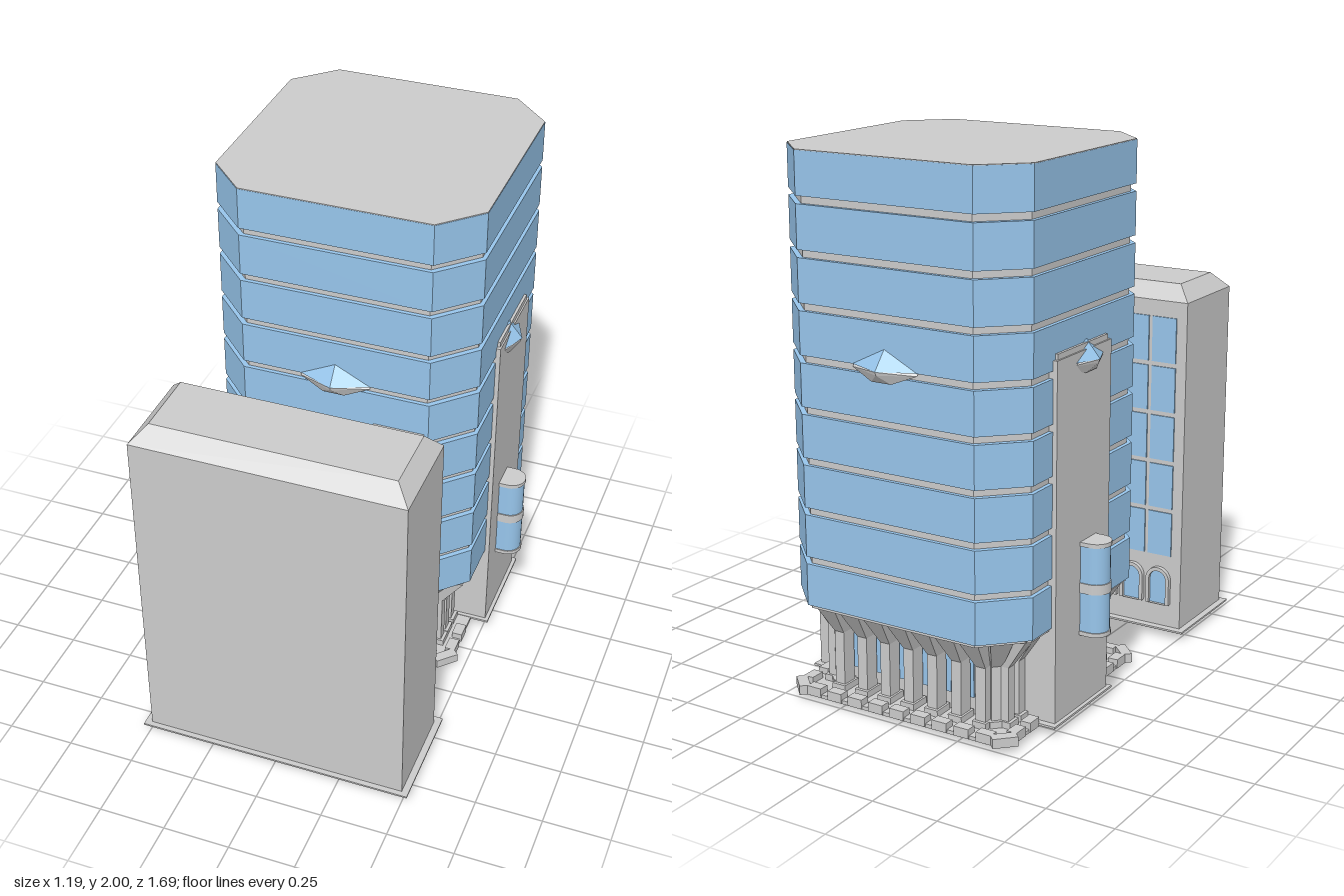
import * as THREE from 'three';
import { ConvexGeometry } from 'three/addons/geometries/ConvexGeometry.js';

const grey = new THREE.MeshStandardMaterial({ color: 0xcccccc, flatShading: true });
const blue = new THREE.MeshStandardMaterial({ color: 0x97c5eb, flatShading: true });
const smoothBlue = new THREE.MeshStandardMaterial({ color: 0x97c5eb });
const smoothGrey = new THREE.MeshStandardMaterial({ color: 0xcccccc });
const CZ = -0.305; // centre of the tower in z

function add(parent, name, geometry, material) {
  const mesh = new THREE.Mesh(geometry, material);
  mesh.name = name;
  parent.add(mesh);
  return mesh;
}

// Box given by its limits on each axis
function box(parent, name, x0, x1, y0, y1, z0, z1, material = grey) {
  const mesh = add(parent, name, new THREE.BoxGeometry(x1 - x0, y1 - y0, z1 - z0), material);
  mesh.position.set((x0 + x1) / 2, (y0 + y1) / 2, (z0 + z1) / 2);
  return mesh;
}

function hull(parent, name, points, material) {
  return add(parent, name, new ConvexGeometry(points.map(p => new THREE.Vector3(...p))), material);
}

// Upright prism on a rectangle with cut corners, around the tower axis
function octagon(parent, name, hx, hz, cut, y0, y1, material) {
  const corners = [
    [hx - cut, -hz], [hx, -hz + cut], [hx, hz - cut], [hx - cut, hz],
    [cut - hx, hz], [-hx, hz - cut], [-hx, cut - hz], [cut - hx, -hz]];
  const shape = new THREE.Shape(corners.map(c => new THREE.Vector2(...c)));
  const geometry = new THREE.ExtrudeGeometry(shape, { depth: y1 - y0, bevelEnabled: false });
  geometry.rotateX(-Math.PI / 2).translate(0, y0, CZ);
  return add(parent, name, geometry, material);
}

// Frustum between two rectangles [x half, z0, z1]
function frustum(parent, name, a, y0, b, y1, material) {
  const ring = ([h, z0, z1], y) => [[-h, y, z0], [h, y, z0], [h, y, z1], [-h, y, z1]];
  return hull(parent, name, [...ring(a, y0), ...ring(b, y1)], material);
}

function tower() {
  const g = new THREE.Group();
  g.name = 'tower';
  octagon(g, 'floorSlabs', 0.475, 0.47, 0.137, 0.385, 1.99, grey);
  for (let i = 0; i < 9; i++) {
    const top = 2 - i * 0.1818;
    octagon(g, 'glazedFloor', 0.49, 0.485, 0.14, top - 0.155, top - (i ? 0 : 0.003), blue);
  }
  octagon(g, 'roof', 0.489, 0.484, 0.14, 1.996, 2, grey);
  octagon(g, 'soffit', 0.48, 0.475, 0.14, 0.378, 0.392, grey);

  // Pointed canopies on all four sides
  for (let i = 0; i < 4; i++) {
    const c = new THREE.Group();
    c.name = 'pointedCanopy';
    hull(c, 'canopyTop', [[-0.13, 1.3, -0.01], [0.13, 1.3, -0.01], [0, 1.365, -0.01],
      [-0.13, 1.3, 0], [0.13, 1.3, 0], [0, 1.365, 0], [0, 1.3, 0.055]], blue);
    hull(c, 'canopyBase', [[-0.13, 1.3, -0.01], [0.13, 1.3, -0.01], [-0.13, 1.29, 0], [0.13, 1.29, 0],
      [0, 1.299, 0.053], [0, 1.287, 0.05], [-0.04, 1.255, 0.02], [0.04, 1.255, 0.02],
      [-0.04, 1.255, -0.01], [0.04, 1.255, -0.01]], grey);
    const a = i * Math.PI / 2;
    const d = i % 2 ? 0.49 : 0.485;
    c.rotation.y = a;
    c.position.set(Math.sin(a) * d, 0, CZ + Math.cos(a) * d);
    g.add(c);
  }

  // Side slabs with round lift shafts
  for (const s of [-1, 1]) {
    const side = new THREE.Group();
    side.name = 'sideWing';
    const slab = (n, a, b, y0, y1, z0, z1) =>
      box(side, n, Math.min(a * s, b * s), Math.max(a * s, b * s), y0, y1, z0, z1);
    slab('sideSlab', 0.3, 0.506, 0.03, 1.335, CZ - 0.22, CZ + 0.15);
    slab('slabCap', 0.42, 0.5, 1.335, 1.355, CZ - 0.205, CZ + 0.135);
    slab('slabFoot', 0.3, 0.52, 0.03, 0.038, CZ - 0.245, CZ + 0.165);
    const shaft = (n, r, y0, y1, m) => {
      const t = add(side, n, new THREE.CylinderGeometry(r, r, y1 - y0, 24), m);
      t.position.set(0.54 * s, (y0 + y1) / 2, CZ);
      box(side, n + 'Back', Math.min(0.5 * s, 0.54 * s), Math.max(0.5 * s, 0.54 * s), y0, y1, CZ - r, CZ + r, m);
    };
    shaft('liftGlass', 0.051, 0.315, 0.65, smoothBlue);
    for (const [y0, y1] of [[0.31, 0.325], [0.468, 0.505], [0.64, 0.655]]) {
      shaft('liftBand', 0.055, y0, y1, smoothGrey);
    }
    g.add(side);
  }
  return g;
}

// Column with a capital that flares outward (+z) and sideways
function column(parent, x, z, angle) {
  const c = new THREE.Group();
  c.name = 'column';
  box(c, 'shaft', -0.02, 0.02, 0.035, 0.385, -0.06, 0);
  box(c, 'columnFoot', -0.028, 0.028, 0.035, 0.06, -0.07, 0.012);
  hull(c, 'capital', [[-0.02, 0.26, 0], [0.02, 0.26, 0], [-0.02, 0.26, -0.06], [0.02, 0.26, -0.06],
    [-0.022, 0.35, 0.055], [0.022, 0.35, 0.055], [-0.042, 0.385, 0.085], [0.042, 0.385, 0.085],
    [-0.042, 0.385, -0.06], [0.042, 0.385, -0.06]], grey);
  c.position.set(x, 0, z);
  c.rotation.y = angle;
  parent.add(c);
}

function groundFloor() {
  const g = new THREE.Group();
  g.name = 'groundFloor';
  box(g, 'plinth', -0.39, 0.39, 0, 0.03, -0.63, 0.15);
  octagon(g, 'terrace', 0.45, 0.45, 0.06, 0.022, 0.036, grey);
  box(g, 'core', -0.34, 0.34, 0.03, 0.385, -0.6, 0);
  for (let i = -3; i <= 3; i++) {
    column(g, i * 0.1, CZ - 0.375, Math.PI);
    if (Math.abs(i) > 1) column(g, i * 0.1, CZ + 0.375, 0);
    box(g, 'coreWindow', i * 0.095 - 0.035, i * 0.095 + 0.035, 0.1, 0.34, -0.606, 0.006, blue);
  }
  for (const s of [-1, 1]) {
    for (const z of [-0.31, -0.24, 0.2, 0.27, 0.33]) column(g, s * 0.385, CZ + z, s * Math.PI / 2);
    for (const t of [-1, 1]) column(g, s * 0.345, CZ + t * 0.34, Math.atan2(s, t));
    for (const z of [-0.08, -0.56]) box(g, 'sideWindow', s * 0.343 - 0.005, s * 0.343 + 0.005, 0.1, 0.34, z - 0.03, z + 0.06, blue);
  }

  // Entrance porch
  box(g, 'porch', -0.14, 0.14, 0.03, 0.385, 0, 0.15);
  for (const y of [0.14, 0.225, 0.31]) box(g, 'porchGlass', -0.144, 0.144, y, y + 0.075, 0.085, 0.12, blue);
  box(g, 'entranceDoors', -0.1, 0.1, 0.05, 0.3, 0.14, 0.154, blue);

  // Kerb blocks round the terrace
  for (const s of [-1, 1]) {
    for (let i = -4; i <= 4; i++) {
      const p = i * 0.09;
      box(g, 'kerbBlock', p - 0.03, p + 0.03, 0.025, 0.06, CZ + s * 0.435 - 0.02, CZ + s * 0.435 + 0.02);
      if (Math.abs(i) > 2) box(g, 'kerbBlock', s * 0.435 - 0.02, s * 0.435 + 0.02, 0.025, 0.06, CZ + p - 0.03, CZ + p + 0.03);
    }
    for (const t of [-1, 1]) {
      const b = box(g, 'cornerKerb', -0.045, 0.045, 0.025, 0.06, -0.02, 0.02);
      b.position.set(s * 0.428, 0.0425, CZ + t * 0.428);
      b.rotation.y = s * t * Math.PI / 4;
    }
  }
  return g;
}

function frontBlock() {
  const g = new THREE.Group();
  g.name = 'frontBlock';
  box(g, 'blockBody', -0.495, 0.495, 0.03, 1.34, 0.46, 0.825);
  frustum(g, 'bevelledRoof', [0.495, 0.46, 0.825], 1.34, [0.44, 0.51, 0.765], 1.4, grey);
  box(g, 'blockFoot', -0.52, 0.52, 0.03, 0.037, 0.43, 0.845);
  box(g, 'underTray', -0.4, -0.04, 0.02, 0.03, 0.47, 0.62, blue);

  // Window grid and arches on the side facing the tower
  const arch = (w, h) => {
    const s = new THREE.Shape();
    s.moveTo(-w, 0).lineTo(w, 0).lineTo(w, h).absarc(0, h, w, 0, Math.PI, false).lineTo(-w, 0);
    return s;
  };
  const frame = arch(0.05, 0.1);
  frame.holes.push(arch(0.036, 0.1));
  const frameGeo = new THREE.ExtrudeGeometry(frame, { depth: 0.02, bevelEnabled: false });
  const glassGeo = new THREE.ExtrudeGeometry(arch(0.038, 0.1), { depth: 0.006, bevelEnabled: false });
  for (let i = 0; i < 8; i++) {
    const x = (i - 3.5) * 0.115;
    for (let r = 0; r < 5; r++) {
      const y = 0.33 + r * 0.193;
      box(g, 'window', x - 0.05, x + 0.05, y, y + 0.175, 0.455, 0.465, blue);
    }
    add(g, 'archFrame', frameGeo, grey).position.set(x, 0.13, 0.442);
    add(g, 'archGlass', glassGeo, blue).position.set(x, 0.13, 0.455);
  }
  return g;
}

function bridge(top) {
  const g = new THREE.Group();
  g.name = 'skyBridge';
  const deck = top - 0.17;
  box(g, 'bridgeBody', 0.148, 0.332, deck, top, 0.16, 0.465);
  box(g, 'bridgeRoof', 0.145, 0.335, top - 0.03, top, 0.16, 0.465);
  for (const [z0, z1] of [[0.185, 0.295], [0.31, 0.45]]) {
    box(g, 'bridgeWindow', 0.145, 0.335, deck + 0.015, top - 0.035, z0, z1, blue);
  }
  // Zigzag trusses below the deck
  for (const x of [0.155, 0.325]) {
    box(g, 'bottomChord', x - 0.008, x + 0.008, top - 0.245, top - 0.233, 0.16, 0.465);
    for (let i = 0; i < 6; i++) {
      const bar = add(g, 'trussBar', new THREE.BoxGeometry(0.014, 0.088, 0.012), grey);
      bar.position.set(x, deck - 0.035, 0.205 + i * 0.0465);
      bar.rotation.x = i % 2 ? 0.58 : -0.58;
    }
  }
  return g;
}

export function createModel() {
  const model = new THREE.Group();
  model.name = 'officeComplex';
  model.add(tower(), groundFloor(), frontBlock(), bridge(1.145), bridge(0.645));
  return model;
}
